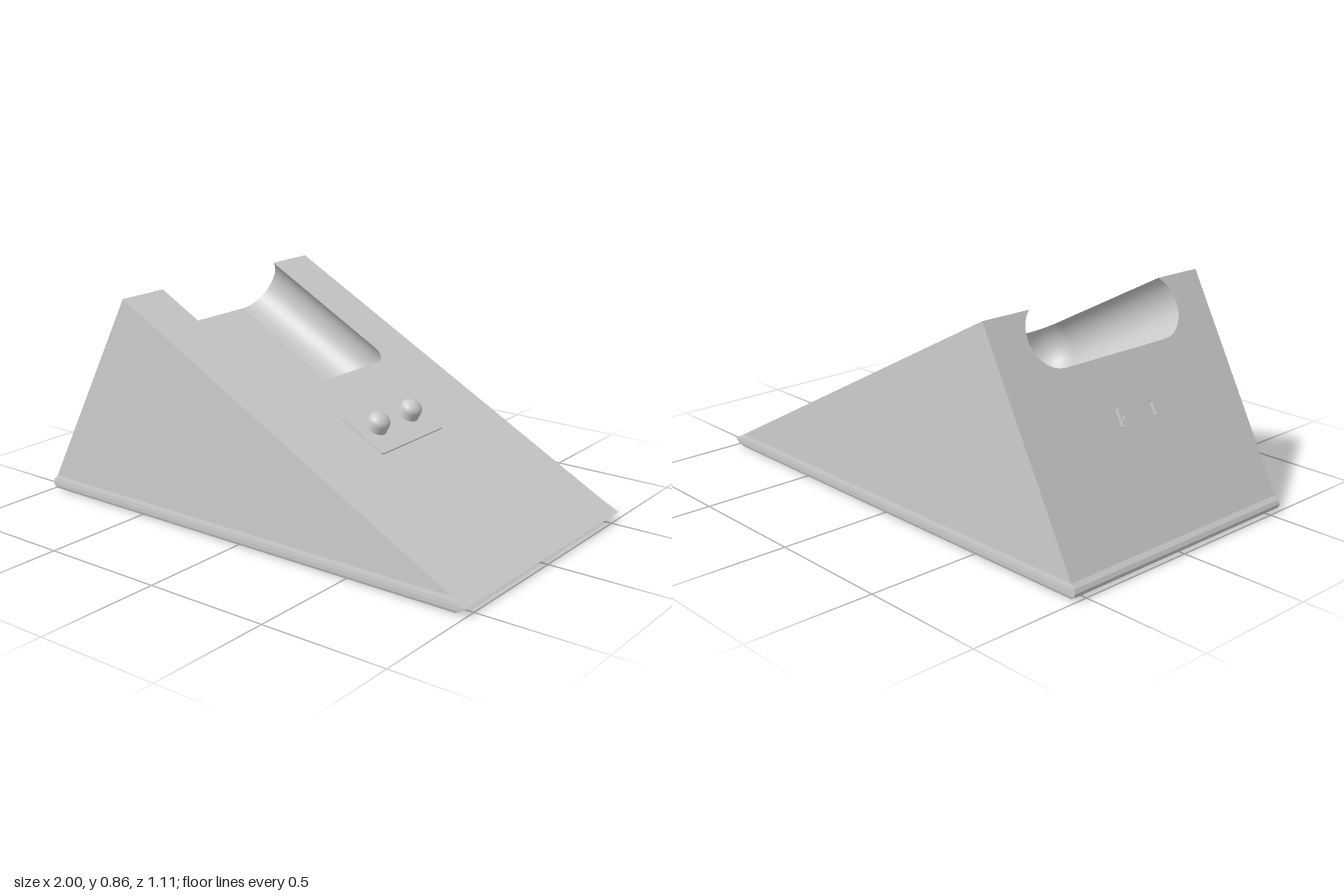
import * as THREE from 'three';

const HALF = 0.55;                       // half depth of the wedge
const APEX = { x: -0.55, y: 0.86 };      // ridge of the wedge
const TILT = Math.atan2(0.83, 1.55);     // slope angle; back face is square to the slope
const C = 0.26, END = 0.606, R = 0.125, MID = 0.1; // recess: fillet centres, radius, depth
const LEVELS = 12, ARC = 8;

const grey = (opts = {}) => new THREE.MeshStandardMaterial({ color: 0xcccccc, ...opts });

function mesh(name, geometry, opts) {
  const m = new THREE.Mesh(geometry, grey(opts));
  m.name = name;
  return m;
}

function bufferGeometry(positions, index) {
  const g = new THREE.BufferGeometry();
  g.setAttribute('position', new THREE.Float32BufferAttribute(positions, 3));
  if (index) g.setIndex(index);
  g.computeVertexNormals();
  return g;
}

// Rounded wall of the recess: radius and depth from rim to floor
const levels = Array.from({ length: LEVELS + 1 }, (_, i) => {
  const top = Math.asin(MID / R);
  const a = top - (top + Math.PI / 2) * i / LEVELS;
  return { r: Math.max(R * Math.cos(a), 0.0005), w: MID - R * Math.sin(a) };
});

// U-shaped outline of the recess at one depth, as [along slope, z]
function outline(r) {
  const pts = [[0, -C - r]];
  for (const [cz, start] of [[-C, -Math.PI / 2], [C, 0]]) {
    for (let i = 0; i <= ARC; i++) {
      const a = start + i / ARC * Math.PI / 2;
      pts.push([END + r * Math.cos(a), cz + r * Math.sin(a)]);
    }
  }
  pts.push([0, C + r]);
  return pts;
}

// Rounded base with the two triangular side walls
function baseGeometry() {
  const p = [];
  const tri = (a, b, c) => p.push(...a, ...b, ...c);
  const quad = (a, b, c, d) => { tri(a, b, c); tri(a, c, d); };
  const rings = [
    [0, -0.955, 0.93, 0.54], [0.004, -0.978, 0.955, 0.549], [0.014, -0.994, 0.98, 0.553],
    [0.03, -1, 1, 0.554], [0.045, -0.993, 0.972, 0.553], [0.06, -0.978, 0.944, HALF],
  ].map(([y, x0, x1, z]) => [[x0, y, z], [x1, y, z], [x1, y, -z], [x0, y, -z]]);
  for (let k = 0; k < rings.length - 1; k++) {
    for (let i = 0; i < 4; i++) {
      const j = (i + 1) % 4;
      quad(rings[k][i], rings[k][j], rings[k + 1][j], rings[k + 1][i]);
    }
  }
  const b = rings[0], t = rings[rings.length - 1];
  quad(b[3], b[2], b[1], b[0]);
  tri(t[0], t[1], [APEX.x, APEX.y, HALF]);
  tri(t[2], t[3], [APEX.x, APEX.y, -HALF]);
  return bufferGeometry(p);
}

// Slope with the recess opening cut into its upper edge
function slopeGeometry() {
  const len = 0.8 / Math.sin(TILT);
  const pts = [[0, -HALF], [len, -HALF], [len, HALF], [0, HALF], ...outline(levels[0].r).reverse()];
  const shape = new THREE.Shape(pts.map(([u, z]) => new THREE.Vector2(u, z)));
  return new THREE.ShapeGeometry(shape).rotateX(-Math.PI / 2);
}

// Back wall with the recess section cut into its upper edge
function backGeometry() {
  const len = 0.8 / Math.cos(TILT);
  const left = levels.map(({ r, w }) => new THREE.Vector2(-C - r, -w));
  const right = levels.map(({ r, w }) => new THREE.Vector2(C + r, -w)).reverse();
  const shape = new THREE.Shape([
    new THREE.Vector2(-HALF, 0), new THREE.Vector2(-HALF, -len),
    new THREE.Vector2(HALF, -len), new THREE.Vector2(HALF, 0), ...right.reverse(), ...left.reverse(),
  ]);
  return new THREE.ShapeGeometry(shape).rotateY(-Math.PI / 2);
}

// Recess wall lofted through the outlines
function recessGeometry() {
  const p = [], index = [];
  for (const { r, w } of levels) for (const [u, z] of outline(r)) p.push(u, -w, z);
  const n = outline(1).length;
  for (let k = 0; k < LEVELS; k++) {
    for (let i = 0; i < n - 1; i++) {
      const a = k * n + i, b = a + n;
      index.push(a, a + 1, b, a + 1, b + 1, b);
    }
  }
  return bufferGeometry(p, index);
}

function roundedRect(w, h, r, Type = THREE.Shape) {
  const s = new Type(), x = w / 2, y = h / 2;
  s.absarc(x - r, y - r, r, 0, Math.PI / 2);
  s.absarc(r - x, y - r, r, Math.PI / 2, Math.PI);
  s.absarc(r - x, r - y, r, Math.PI, Math.PI * 1.5);
  s.absarc(x - r, r - y, r, Math.PI * 1.5, Math.PI * 2);
  s.closePath();
  return s;
}

export function createModel() {
  const model = new THREE.Group();
  model.name = 'wedgeStand';
  model.add(mesh('base', baseGeometry(), { flatShading: true }));

  // Everything on the slope is laid out in the slope's own frame
  const top = new THREE.Group();
  top.name = 'slopeParts';
  top.position.set(APEX.x, APEX.y, 0);
  top.rotation.z = -TILT;
  model.add(top);

  top.add(mesh('slope', slopeGeometry()));
  top.add(mesh('backWall', backGeometry()));
  top.add(mesh('recessWall', recessGeometry(), { side: THREE.DoubleSide }));
  const floor = mesh('recessFloor', new THREE.PlaneGeometry(END, 2 * C).rotateX(-Math.PI / 2));
  floor.position.set(END / 2, -MID - R, 0);
  top.add(floor);

  // Button plate
  const plate = mesh('buttonPlate', new THREE.ExtrudeGeometry(roundedRect(0.225, 0.405, 0.012),
    { depth: 0.007, bevelEnabled: false }).rotateX(-Math.PI / 2));
  plate.position.set(0.976, 0, 0);
  top.add(plate);

  // Two domed buttons
  const profile = [new THREE.Vector2(0.043, 0), new THREE.Vector2(0.043, 0.04)];
  const dome = Array.from({ length: 7 }, (_, i) => {
    const a = i / 6 * Math.PI / 2;
    return new THREE.Vector2(0.043 * Math.cos(a), 0.04 + 0.029 * Math.sin(a));
  });
  for (const z of [-0.105, 0.105]) {
    const button = new THREE.Group();
    button.name = 'button';
    button.add(mesh('buttonSide', new THREE.LatheGeometry(profile, 20)));
    button.add(mesh('buttonDome', new THREE.LatheGeometry(dome, 20)));
    button.position.set(0.972, 0, z);
    top.add(button);
  }

  // Socket on the back wall: open frame with a tongue
  const frame = roundedRect(0.185, 0.069, 0.004);
  frame.holes.push(roundedRect(0.165, 0.049, 0.003, THREE.Path));
  const socket = new THREE.Group();
  socket.name = 'socket';
  socket.add(mesh('socketFrame', new THREE.ExtrudeGeometry(frame,
    { depth: 0.013, bevelEnabled: false }).rotateY(-Math.PI / 2)));
  const tongue = mesh('socketTongue', new THREE.BoxGeometry(0.01, 0.016, 0.14));
  tongue.position.x = -0.005;
  socket.add(tongue);
  socket.position.set(0, -0.449, -0.008);
  top.add(socket);

  return model;
}
